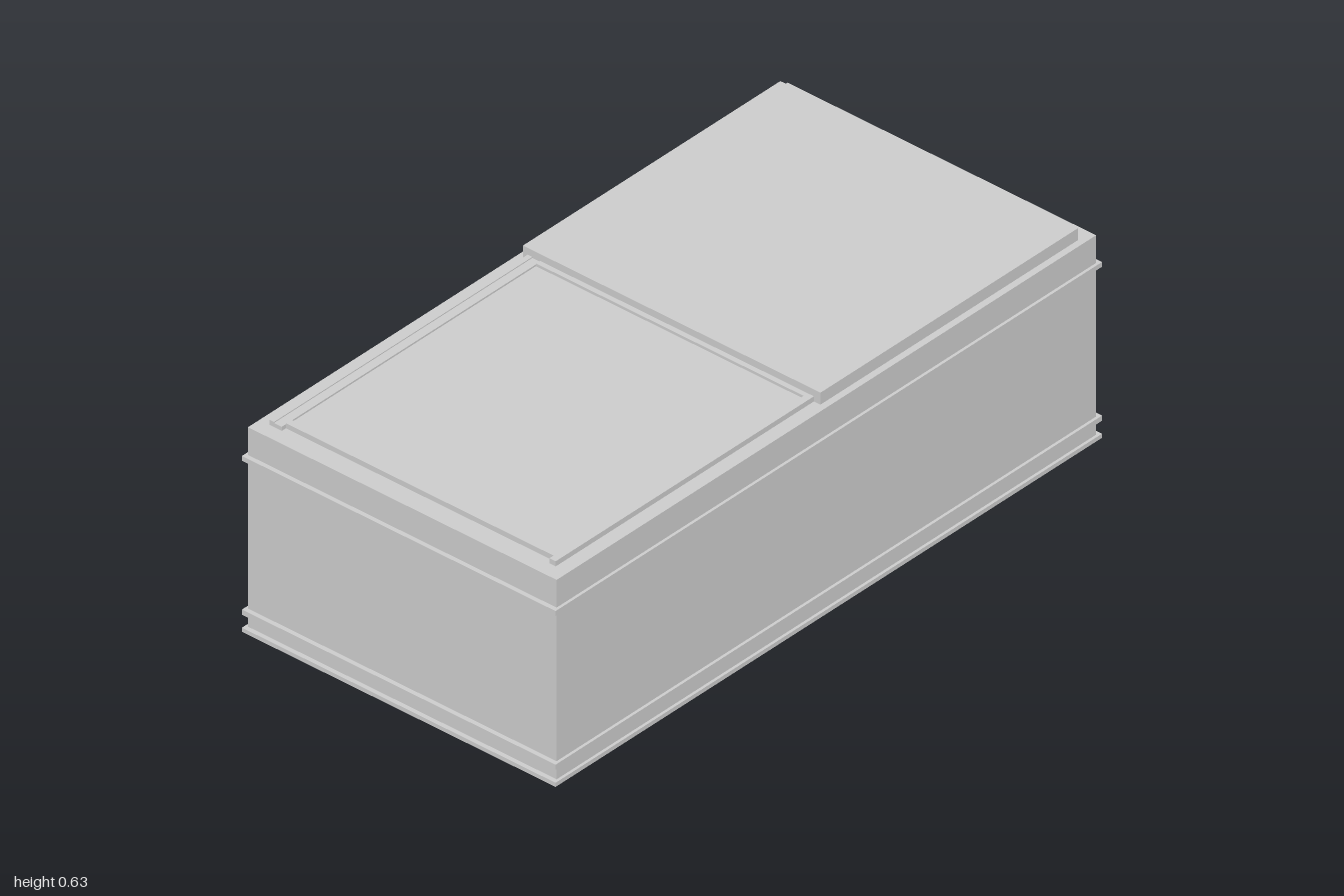
import * as THREE from 'three';

const material = new THREE.MeshStandardMaterial({ color: 0xcccccc, flatShading: true });

// Box given by its limits on each axis
function block(name, x0, x1, y0, y1, z0, z1) {
  const mesh = new THREE.Mesh(new THREE.BoxGeometry(x1 - x0, y1 - y0, z1 - z0), material);
  mesh.position.set((x0 + x1) / 2, (y0 + y1) / 2, (z0 + z1) / 2);
  mesh.name = name;
  return mesh;
}

function rectangle(path, x0, x1, z0, z1) {
  path.moveTo(x0, -z0);
  path.lineTo(x1, -z0);
  path.lineTo(x1, -z1);
  path.lineTo(x0, -z1);
  path.closePath();
  return path;
}

// Flat rectangular ring: outer and inner are [x0, x1, z0, z1]
function ring(name, outer, inner, y0, y1) {
  const shape = rectangle(new THREE.Shape(), ...outer);
  shape.holes.push(rectangle(new THREE.Path(), ...inner));
  const geometry = new THREE.ExtrudeGeometry(shape, { depth: y1 - y0, bevelEnabled: false });
  geometry.rotateX(-Math.PI / 2);
  geometry.translate(0, y0, 0);
  const mesh = new THREE.Mesh(geometry, material);
  mesh.name = name;
  return mesh;
}

export function createModel() {
  const model = new THREE.Group();
  model.name = 'chestFreezer';

  // Cabinet
  const bx = 0.987, bz = 0.497;
  model.add(block('cabinet', -bx, bx, 0.001, 0.595, -bz, bz));

  // Base plate and protective bands around the cabinet
  model.add(block('basePlate', -1, 1, 0, 0.012, -0.505, 0.505));
  for (const [name, y0, y1] of [['lowerBand', 0.05, 0.065], ['upperBand', 0.5, 0.514]]) {
    model.add(ring(name, [-1, 1, -0.505, 0.505], [-bx, bx, -bz, bz], y0, y1));
  }

  // Lower sliding lid on the model's right, with long rails and set-in end bars
  const lowerLid = new THREE.Group();
  lowerLid.name = 'lowerLid';
  lowerLid.add(
    block('backRail', -0.945, 0.01, 0.595, 0.61, -0.465, -0.45),
    block('backRailLip', -0.945, 0.01, 0.595, 0.607, -0.45, -0.425),
    block('frontRail', -0.945, 0.01, 0.595, 0.61, 0.437, 0.457),
    block('endBar', -0.93, -0.91, 0.595, 0.61, -0.425, 0.437),
    block('middleBar', -0.015, 0.01, 0.595, 0.61, -0.425, 0.437),
    block('lowerPane', -0.91, -0.015, 0.595, 0.602, -0.425, 0.437)
  );
  model.add(lowerLid);

  // Upper sliding lid on the model's left
  const upperLid = new THREE.Group();
  upperLid.name = 'upperLid';
  upperLid.add(
    ring('upperFrame', [0, 0.942, -0.48, 0.478], [0.035, 0.926, -0.456, 0.46], 0.595, 0.63),
    block('upperPane', 0.035, 0.926, 0.597, 0.622, -0.456, 0.46)
  );
  model.add(upperLid);

  return model;
}
